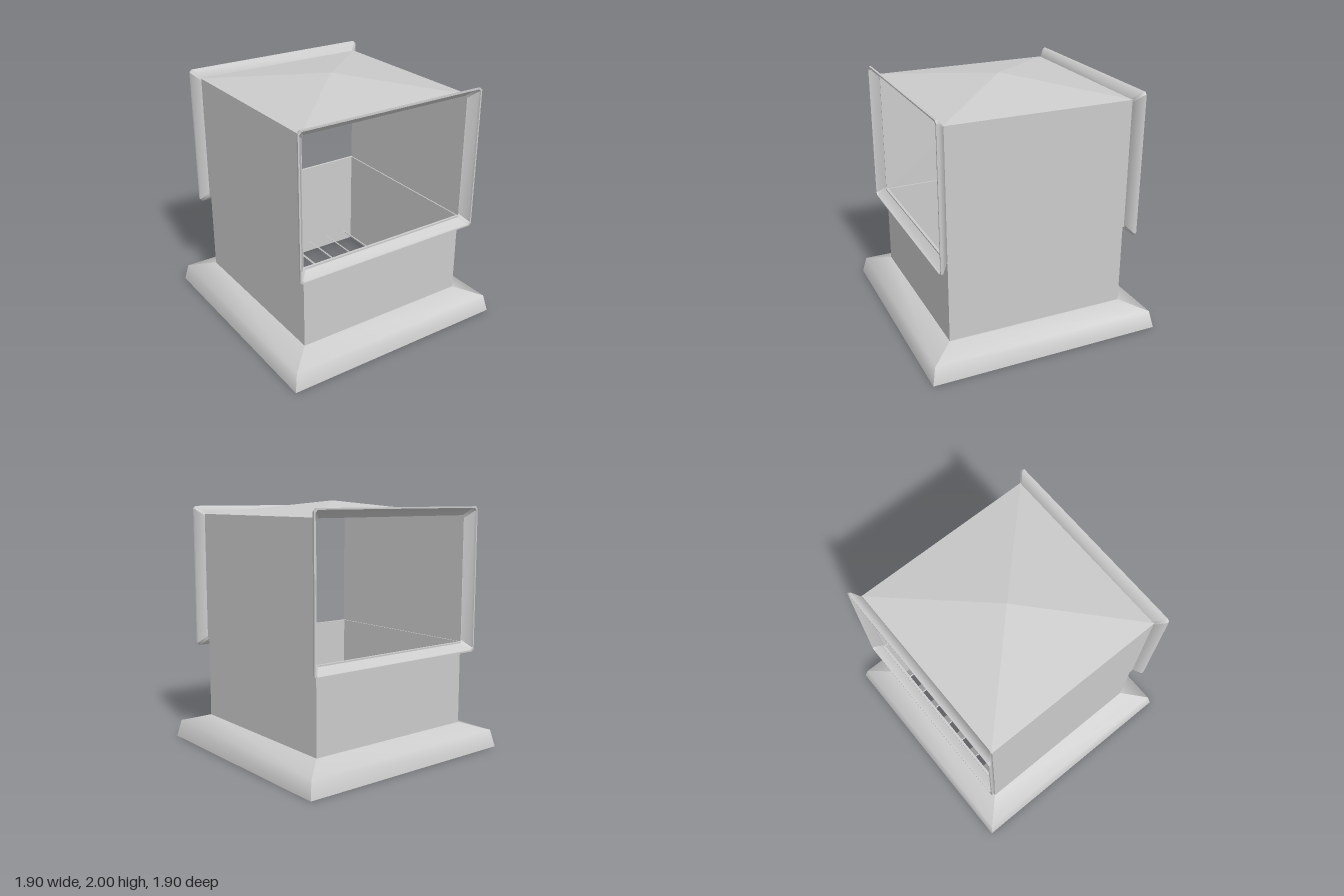
import * as THREE from 'three';
import { mergeGeometries, toCreasedNormals } from 'three/addons/utils/BufferGeometryUtils.js';

const material = new THREE.MeshStandardMaterial({ color: 0xcccccc, side: THREE.DoubleSide });
const flatMaterial = new THREE.MeshStandardMaterial({ color: 0xcccccc, side: THREE.DoubleSide, flatShading: true });

function add(parent, name, geometry, mat = material) {
  const mesh = new THREE.Mesh(geometry, mat);
  mesh.name = name;
  parent.add(mesh);
  return mesh;
}

// Rectangular mitred ring: a closed profile of [offset, height] swept round a
// rectangle of half sizes a, b, with corners cut by c. Each side keeps its own normals.
function mitredRing(a, b, profile, c = 0) {
  const outline = (o) => {
    const x = a + o, z = b + o;
    return c > 0
      ? [[-x + c, z], [x - c, z], [x, z - c], [x, -z + c], [x - c, -z], [-x + c, -z], [-x, -z + c], [-x, z - c]]
      : [[-x, z], [x, z], [x, -z], [-x, -z]];
  };
  const loops = profile.map(([o, y]) => outline(o).map(([x, z]) => [x, y, z]));
  const sideCount = loops[0].length;
  const sides = [];
  for (let s = 0; s < sideCount; s++) {
    const t = (s + 1) % sideCount;
    const positions = [];
    loops.forEach((top, j) => {
      const low = loops[(j + 1) % loops.length];
      positions.push(...top[s], ...low[s], ...low[t], ...top[s], ...low[t], ...top[t]);
    });
    const side = new THREE.BufferGeometry();
    side.setAttribute('position', new THREE.Float32BufferAttribute(positions, 3));
    sides.push(toCreasedNormals(side, THREE.MathUtils.degToRad(68)));
  }
  return mergeGeometries(sides);
}

export function createModel() {
  const model = new THREE.Group();
  model.name = 'chimneyCowl';

  // Flared skirt at the foot
  add(model, 'baseSkirt', mitredRing(0.73, 0.73, [
    [0, 0.2], [0.19, 0.14], [0.22, 0], [0.208, 0], [0.178, 0.132], [0, 0.188],
  ]));

  // Square duct, open at top and bottom
  add(model, 'lowerDuct', mitredRing(0.735, 0.735, [
    [0, 0.86], [0, 0.01], [-0.01, 0.01], [-0.01, 0.86],
  ]));

  // Narrow ledge where the hood sits on the duct
  add(model, 'hoodLedge', mitredRing(0.745, 0.745, [
    [0, 0.872], [0, 0.858], [-0.02, 0.858], [-0.02, 0.872],
  ]));

  // Solid side walls of the hood
  for (const s of [-1, 1]) {
    const wall = add(model, s > 0 ? 'leftWall' : 'rightWall', new THREE.BoxGeometry(0.01, 1.03, 1.48));
    wall.position.set(s * 0.74, 1.375, 0);
  }

  // Shallow pyramid roof
  const roof = new THREE.ConeGeometry(0.745 * Math.SQRT2, 0.11, 4, 1, true);
  roof.rotateY(Math.PI / 4);
  add(model, 'roof', roof, flatMaterial).position.y = 1.945;

  // Flared frames round the front and back openings
  const frame = mitredRing(0.745, 0.515, [
    [0.065, 0.815], [0.062, 0.795], [0.003, 0.74], [-0.005, 0.74], [0.05, 0.797], [0.053, 0.815],
  ], 0.02);
  frame.rotateX(Math.PI / 2);
  for (const name of ['frontFrame', 'backFrame']) {
    const mesh = add(model, name, frame);
    mesh.position.y = 1.375;
    if (name === 'backFrame') mesh.rotation.y = Math.PI;
  }

  // Slanted louvre slats across the bottom of the duct
  const slats = new THREE.Group();
  slats.name = 'louvreSlats';
  model.add(slats);
  const slatGeometry = new THREE.BoxGeometry(0.14, 0.01, 1.46);
  for (let i = 0; i < 8; i++) {
    const slat = add(slats, 'slat', slatGeometry);
    slat.position.set((i - 3.5) * 0.195, 0.065, 0);
    slat.rotation.z = -Math.PI / 4;
  }

  return model;
}
